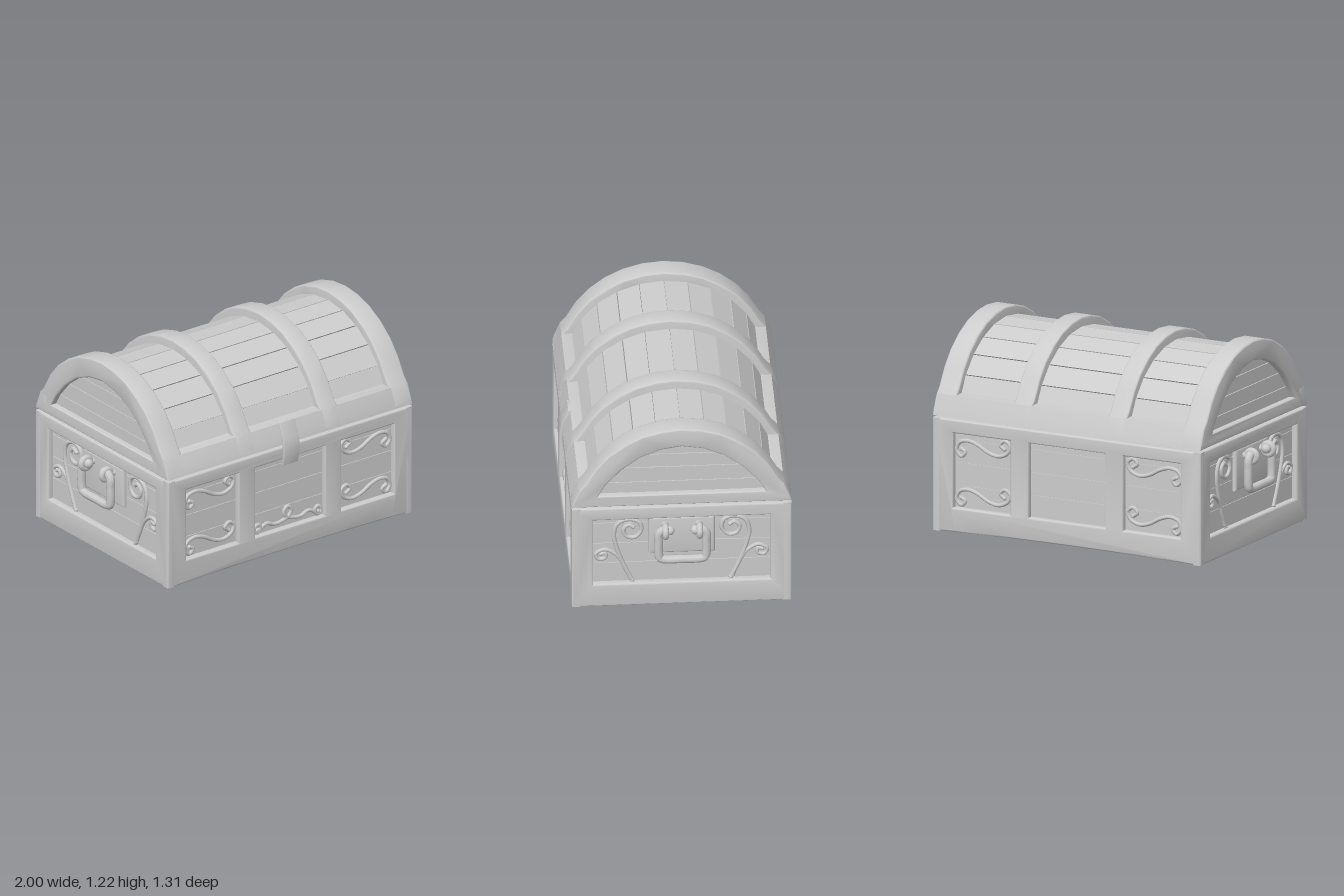
import * as THREE from 'three';
import { toCreasedNormals } from 'three/addons/utils/BufferGeometryUtils.js';

const W = 0.8975, D = 0.645; // half width and half depth of the chest
const grey = new THREE.MeshStandardMaterial({ color: 0xcccccc });
grey.name = 'plain grey';

const shapeOf = (pts) => new THREE.Shape(pts.map(([x, y]) => new THREE.Vector2(x, y)));
const rect = (x0, x1, y0, y1) => [[x0, y0], [x1, y0], [x1, y1], [x0, y1]];

export function createModel() {
  const model = new THREE.Group();
  model.name = 'treasureChest';
  const chest = new THREE.Group();
  chest.name = 'chest';
  chest.position.set(-0.0125, 0, -0.005);
  model.add(chest);

  const add = (name, geo, parent = chest) => {
    const m = new THREE.Mesh(geo, grey);
    m.name = name;
    parent.add(m);
    return m;
  };

  // Rounded plate, centred on its own thickness
  const plate = (shape, depth, bevel) => {
    const g = new THREE.ExtrudeGeometry(shape, {
      depth: depth - 2 * bevel, bevelEnabled: bevel > 0, bevelThickness: bevel, bevelSize: bevel,
      bevelOffset: -bevel, bevelSegments: 3, curveSegments: 12,
    });
    g.translate(0, 0, bevel - depth / 2);
    return toCreasedNormals(g, 0.6);
  };
  // Profile in (depth, height) swept along x, centred on x
  const sweepX = (pts, width, bevel, x, hole) => {
    const s = shapeOf(pts);
    if (hole) s.holes.push(shapeOf(hole));
    return plate(s, width, bevel).rotateY(-Math.PI / 2).translate(x, 0, 0);
  };
  const box = (x0, x1, y0, y1, z0, z1) =>
    new THREE.BoxGeometry(x1 - x0, y1 - y0, z1 - z0).translate((x0 + x1) / 2, (y0 + y1) / 2, (z0 + z1) / 2);

  // Curled ironwork: round rod with rounded ends
  const scroll = (name, pts, parent, r = 0.012) => {
    const v = pts.map(([x, y]) => new THREE.Vector3(x, y, 0));
    add(name, new THREE.TubeGeometry(new THREE.CatmullRomCurve3(v), 64, r, 8), parent);
    for (const p of [v[0], v[v.length - 1]])
      add(name + 'End', new THREE.SphereGeometry(r * 1.1, 10, 8).translate(p.x, p.y, 0), parent);
  };

  // ---- Body: boards inside a framework ----
  const rows = [0.03, 0.15, 0.283, 0.42, 0.56, 0.67];
  for (let i = 0; i < 5; i++)
    add('bodyBoard', box(-0.862, 0.862, rows[i] + 0.002, rows[i + 1] - 0.002, -0.61, 0.61));
  add('bodyCore', box(-0.857, 0.857, 0.034, 0.675, -0.605, 0.605));
  for (let i = 0; i < 3; i++)
    add('floorBoard', box(-0.86, 0.86, 0.022, 0.034, -0.6 + i * 0.4 + 0.002, -0.2 + i * 0.4 - 0.002));

  for (const s of [1, -1]) {
    const face = new THREE.Shape();
    face.moveTo(-W, 0);
    face.quadraticCurveTo(0, 0.026, W, 0);
    face.lineTo(W, 0.68);
    face.lineTo(-W, 0.68);
    for (const [a, b] of [[-0.7625, -0.3775], [-0.256, 0.256], [0.3775, 0.7625]])
      face.holes.push(shapeOf(rect(a, b, 0.15, 0.6)));
    add(s > 0 ? 'frontFrame' : 'backFrame', plate(face, 0.055, 0.01).translate(0, 0, s * (D - 0.0275)));

    const side = sweepX(rect(-D, D, 0, 0.68), 0.055, 0.01, s * (W - 0.0275), rect(-0.52, 0.52, 0.15, 0.6));
    add(s > 0 ? 'leftFrame' : 'rightFrame', side);
  }

  // ---- Scrolls on the front and back panels ----
  const sScroll = [[-0.72, 0.505], [-0.693, 0.488], [-0.72, 0.46], [-0.752, 0.495], [-0.732, 0.543],
    [-0.675, 0.558], [-0.61, 0.54], [-0.54, 0.502], [-0.47, 0.488], [-0.41, 0.515], [-0.394, 0.56],
    [-0.43, 0.586], [-0.46, 0.558], [-0.432, 0.535]];
  for (const back of [0, 1]) {
    const g = new THREE.Group();
    g.name = back ? 'backScrolls' : 'frontScrolls';
    g.rotation.y = back * Math.PI;
    chest.add(g);
    const layer = new THREE.Group();
    layer.name = 'scrollLayer';
    layer.position.z = 0.614;
    g.add(layer);
    for (const s of [1, -1])
      for (const drop of [0, 0.295])
        scroll('panelScroll', sScroll.map(([x, y]) => [x * s, y - drop]), layer);
    if (!back) {
      const half = [[-0.225, 0.178], [-0.2, 0.185], [-0.208, 0.212], [-0.235, 0.21], [-0.246, 0.18],
        [-0.222, 0.162], [-0.19, 0.19], [-0.15, 0.205], [-0.1, 0.185], [-0.04, 0.19], [0.015, 0.215],
        [0.026, 0.25]];
      scroll('middleScroll', [...half, [0, 0.275], ...half.map(([x, y]) => [-x, y]).reverse()], layer);
    }
  }

  // ---- Side panels: scrolls, back plate and hanging handle ----
  const bigCurl = [[0.29, 0.158], [0.337, 0.26], [0.378, 0.38], [0.397, 0.48], [0.375, 0.555], [0.31, 0.585],
    [0.248, 0.56], [0.238, 0.5], [0.275, 0.458], [0.325, 0.468], [0.34, 0.515], [0.31, 0.545], [0.285, 0.53]];
  const smallCurl = [[0.3, 0.17], [0.345, 0.28], [0.39, 0.345], [0.45, 0.378], [0.502, 0.35], [0.485, 0.312],
    [0.445, 0.322], [0.45, 0.352], [0.472, 0.347]];
  for (const s of [1, -1]) {
    const g = new THREE.Group();
    g.name = s > 0 ? 'leftSideFittings' : 'rightSideFittings';
    g.rotation.y = s * Math.PI / 2; // local +z now points away from the chest
    chest.add(g);
    const layer = new THREE.Group();
    layer.name = 'scrollLayer';
    layer.position.z = 0.866;
    g.add(layer);
    for (const m of [1, -1]) {
      scroll('bigCurl', bigCurl.map(([x, y]) => [x * m, y]), layer, 0.013);
      scroll('smallCurl', smallCurl.map(([x, y]) => [x * m, y]), layer, 0.012);
    }
    add('handlePlate', plate(shapeOf(rect(-0.195, 0.195, 0.35, 0.6)), 0.04, 0.015).translate(0, 0, 0.867), g);

    const handle = new THREE.Group();
    handle.name = 'handle';
    handle.position.z = 0.948 + s * 0.01;
    g.add(handle);
    // Arms hook inwards through the eyes
    const arm = [[0.075, 0.555], [0.115, 0.56], [0.138, 0.535], [0.14, 0.48], [0.14, 0.4], [0.132, 0.364],
      [0.1, 0.354]];
    const path = [...arm, [0, 0.354], ...arm.map(([x, y]) => [-x, y]).reverse()];
    scroll('handleBar', path, handle, 0.026);
    for (const m of [1, -1]) {
      const eye = new THREE.TorusGeometry(0.033, 0.019, 10, 20).rotateY(Math.PI / 2);
      add('handleEye', eye.translate(m * 0.1, 0.55, 0), handle);
      const stem = new THREE.CylinderGeometry(0.02, 0.024, 0.05, 12).rotateX(Math.PI / 2);
      add('handleStem', stem.translate(m * 0.1, 0.55, -0.055), handle);
    }
  }

  // ---- Lid ----
  const mirrored = (half, top) => [...half, top, ...half.map(([z, y]) => [-z, y]).reverse()];
  const arc = (a, b, deg) => [a * Math.sin(deg * Math.PI / 180), 0.6 + b * Math.cos(deg * Math.PI / 180)];
  const rim = [[D, 0.695], [0.635, 0.73], [0.6, 0.815]];
  const outer = mirrored([...rim, ...[66, 55, 44, 33, 22, 11].map((d) => arc(0.62, 0.62, d))], [0, 1.22]);
  const opening = mirrored([[0.492, 0.768], [0.45, 0.84], [0.36, 0.942], [0.25, 1.027], [0.125, 1.08]], [0, 1.1]);

  for (const s of [1, -1]) {
    add('endBand', sweepX(outer, 0.135, 0.01, s * 0.83, opening));
    add('middleBand', sweepX(outer, 0.123, 0.01, s * 0.316));
    const strip = [...rim, [0.53, 0.82], [0.53, 0.695]].map(([z, y]) => [z * s, y]);
    add(s > 0 ? 'lidRimFront' : 'lidRimBack', sweepX(strip, 2 * W, 0.008, 0));
  }

  // Barrel of flat planks over a closed core
  for (let i = -6; i < 6; i++) {
    const a = i * 14 + 0.3, b = i * 14 + 13.7;
    add('lidPlank', sweepX([arc(0.585, 0.565, a), arc(0.585, 0.565, b), arc(0.53, 0.51, b), arc(0.53, 0.51, a)],
      1.6, 0, 0));
  }
  const core = [];
  for (let d = 77; d >= -77; d -= 7) core.push(arc(0.57, 0.55, d));
  add('lidCore', sweepX([[0.57, 0.697], ...core, [-0.57, 0.697]], 1.7, 0, 0));

  // End boards seen through the lid openings
  const levels = [0.72, 0.84, 0.94, 1.03, 1.12];
  for (let i = 0; i < 4; i++) {
    const [lo, hi] = [levels[i] + 0.002, levels[i + 1] - 0.002];
    const reach = (y) => 0.56 * Math.sqrt(1 - ((y - 0.6) / 0.56) ** 2);
    const trap = [[reach(lo), lo], [reach(hi), hi], [-reach(hi), hi], [-reach(lo), lo]];
    add('lidEndBoard', sweepX(trap, 1.72, 0, 0));
  }

  // ---- Latch: bent strap over the seam ----
  const strap = [[0.612, 0.822], [0.65, 0.73], [0.664, 0.66], [0.645, 0.56]];
  const latch = [...strap, ...strap.map(([z, y]) => [z - 0.02, y]).reverse()];
  add('latch', sweepX(latch, 0.113, 0.003, 0));

  return model;
}
